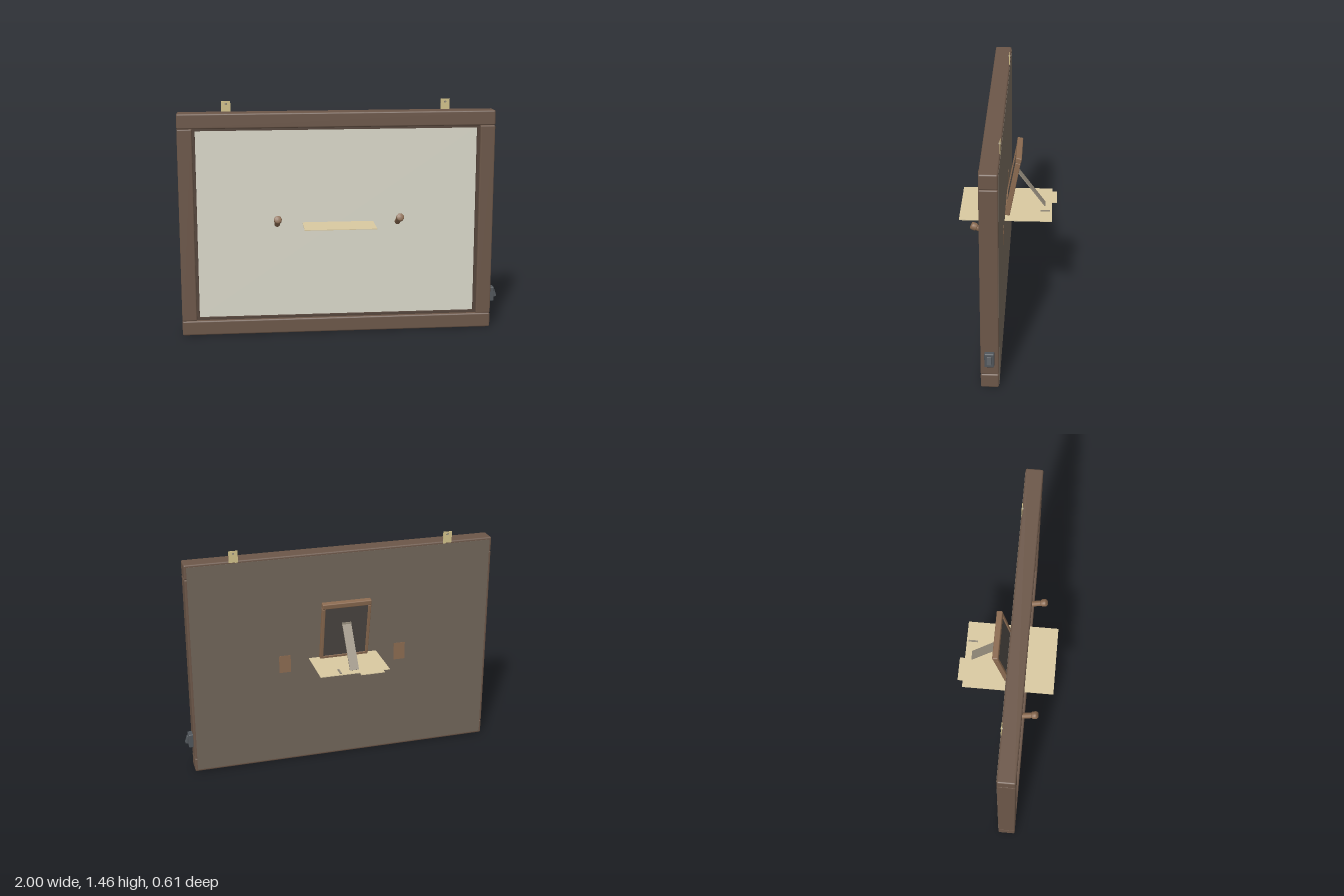
import * as THREE from 'three';
import { RoundedBoxGeometry } from 'three/addons/geometries/RoundedBoxGeometry.js';

const mat = (color) => new THREE.MeshStandardMaterial({ color, side: THREE.DoubleSide });

export function createModel() {
  const model = new THREE.Group();
  const wood = mat(0x6b5648), backWood = mat(0x6f6458), lightWood = mat(0x8a6a50);
  const trimWood = mat(0x54443a), cream = mat(0xd8d6c8), cardboard = mat(0xd8c8a0);
  const brass = mat(0xcfbf88), darkGrey = mat(0x50555a), metal = mat(0x958c7c), dark = mat(0x4c4743);

  const add = (name, geometry, material, x, y, z, parent = model) => {
    const mesh = new THREE.Mesh(geometry, material);
    mesh.name = name;
    mesh.position.set(x, y, z);
    parent.add(mesh);
    return mesh;
  };
  // Box given by its limits on each axis; r rounds the edges
  const box = (name, material, [x0, x1], [y0, y1], [z0, z1], r = 0, parent = model) => {
    const s = [x1 - x0, y1 - y0, z1 - z0];
    const g = r ? new RoundedBoxGeometry(...s, 3, r) : new THREE.BoxGeometry(...s);
    return add(name, g, material, (x0 + x1) / 2, (y0 + y1) / 2, (z0 + z1) / 2, parent);
  };

  // Outer frame: full-width rails with stiles between them
  const depth = [0.021, 0.128];
  box('bottomRail', wood, [-1, 0.95], [0, 0.093], depth, 0.01);
  box('topRail', wood, [-1, 0.95], [1.3, 1.393], depth, 0.01);
  box('rightStile', wood, [-1, -0.908], [0.093, 1.3], depth, 0.008);
  box('leftStile', wood, [0.858, 0.95], [0.093, 1.3], depth, 0.008);

  // Inner trim around the recessed panel
  const trimZ = [0.03, 0.105];
  box('rightTrim', trimWood, [-0.91, -0.892], [0.09, 1.303], trimZ);
  box('leftTrim', trimWood, [0.842, 0.86], [0.09, 1.303], trimZ);
  box('bottomTrim', trimWood, [-0.892, 0.842], [0.09, 0.108], trimZ);
  box('topTrim', trimWood, [-0.892, 0.842], [1.285, 1.303], trimZ);
  box('frontPanel', cream, [-0.9, 0.85], [0.1, 1.294], [0.03, 0.09]);
  box('backPanel', backWood, [-0.985, 0.935], [0.015, 1.378], [0.019, 0.03]);

  // Tilted pegs with a knob in front and a mounting plate behind
  const tilt = 0.42;
  for (const x of [-0.4, 0.352]) {
    const peg = new THREE.Group();
    peg.name = 'peg';
    peg.position.set(x, 0.698, 0.09);
    peg.rotation.x = Math.PI / 2 - tilt;
    model.add(peg);
    add('pegShaft', new THREE.CylinderGeometry(0.018, 0.018, 0.13, 24), lightWood, 0, 0.045, 0, peg);
    const knob = [[0, 0.1], [0.02, 0.1], [0.024, 0.105], [0.024, 0.128], [0.019, 0.136], [0, 0.137]];
    const profile = knob.map(([r, y]) => new THREE.Vector2(r, y));
    add('pegKnob', new THREE.LatheGeometry(profile, 24), lightWood, 0, 0, 0, peg);
    box('pegPlate', lightWood, [x - 0.037, x + 0.037], [0.625, 0.74], [0.0175, 0.025]);
  }

  // Hanging tabs, each pierced and fitted with a small screw
  for (const x of [-0.702, 0.652]) {
    const plate = new THREE.Shape();
    plate.moveTo(-0.028, -0.035).lineTo(0.028, -0.035).lineTo(0.028, 0.06).lineTo(-0.028, 0.06).closePath();
    plate.holes.push(new THREE.Path().absarc(0, 0.043, 0.007, 0, Math.PI * 2, true));
    const g = new THREE.ExtrudeGeometry(plate, { depth: 0.004, bevelEnabled: false });
    add('hangingTab', g, brass, x, 1.395, 0.021);
    const screw = add('hangingScrew', new THREE.CylinderGeometry(0.006, 0.006, 0.014, 12), metal, x, 1.438, 0.025);
    screw.rotation.x = Math.PI / 2;
  }

  // Horizontal shelf card passing through the panel
  box('shelfCard', cardboard, [-0.243, 0.198], [0.7, 0.704], [-0.272, 0.302]);
  box('shelfTab', cardboard, [-0.2, -0.05], [0.7, 0.704], [-0.304, -0.27]);
  box('shelfClip', metal, [0.062, 0.072], [0.703, 0.71], [-0.26, -0.2]);

  // Small leaning frame behind the panel
  const easel = new THREE.Group();
  easel.name = 'leaningFrame';
  easel.position.set(-0.025, 0.703, 0.007);
  easel.rotation.x = -0.185;
  model.add(easel);
  const d = [-0.016, 0.016];
  for (const s of [-1, 1]) {
    add('leaningFrameSide', new RoundedBoxGeometry(0.02, 0.365, 0.032, 2, 0.004), lightWood, s * 0.146, 0.1825, 0, easel);
  }
  box('leaningFrameBottom', lightWood, [-0.14, 0.14], [0, 0.02], d, 0.004, easel);
  box('leaningFrameTop', lightWood, [-0.156, 0.156], [0.365, 0.4], [-0.018, 0.018], 0.006, easel);
  box('leaningFramePicture', dark, [-0.138, 0.138], [0.015, 0.37], [-0.012, 0.008], 0, easel);

  // Strut from the leaning frame down to the shelf
  const top = new THREE.Vector3(-0.028, 0.945, -0.052), foot = new THREE.Vector3(-0.028, 0.704, -0.228);
  const strut = add('strut', new THREE.BoxGeometry(0.057, top.distanceTo(foot), 0.007), metal, 0, 0, 0);
  strut.position.copy(top).add(foot).multiplyScalar(0.5);
  strut.rotation.x = Math.atan2(top.z - foot.z, top.y - foot.y);
  box('strutHinge', metal, [-0.057, 0.001], [0.93, 0.952], [-0.059, -0.047]);

  // Switch on the left side
  box('switchPlate', darkGrey, [0.945, 0.978], [0.163, 0.255], [0.047, 0.104], 0.006);
  const rocker = box('switchRocker', darkGrey, [0.968, 0.992], [0.187, 0.237], [0.06, 0.09], 0.004);
  rocker.rotation.z = 0.3;

  return model;
}
